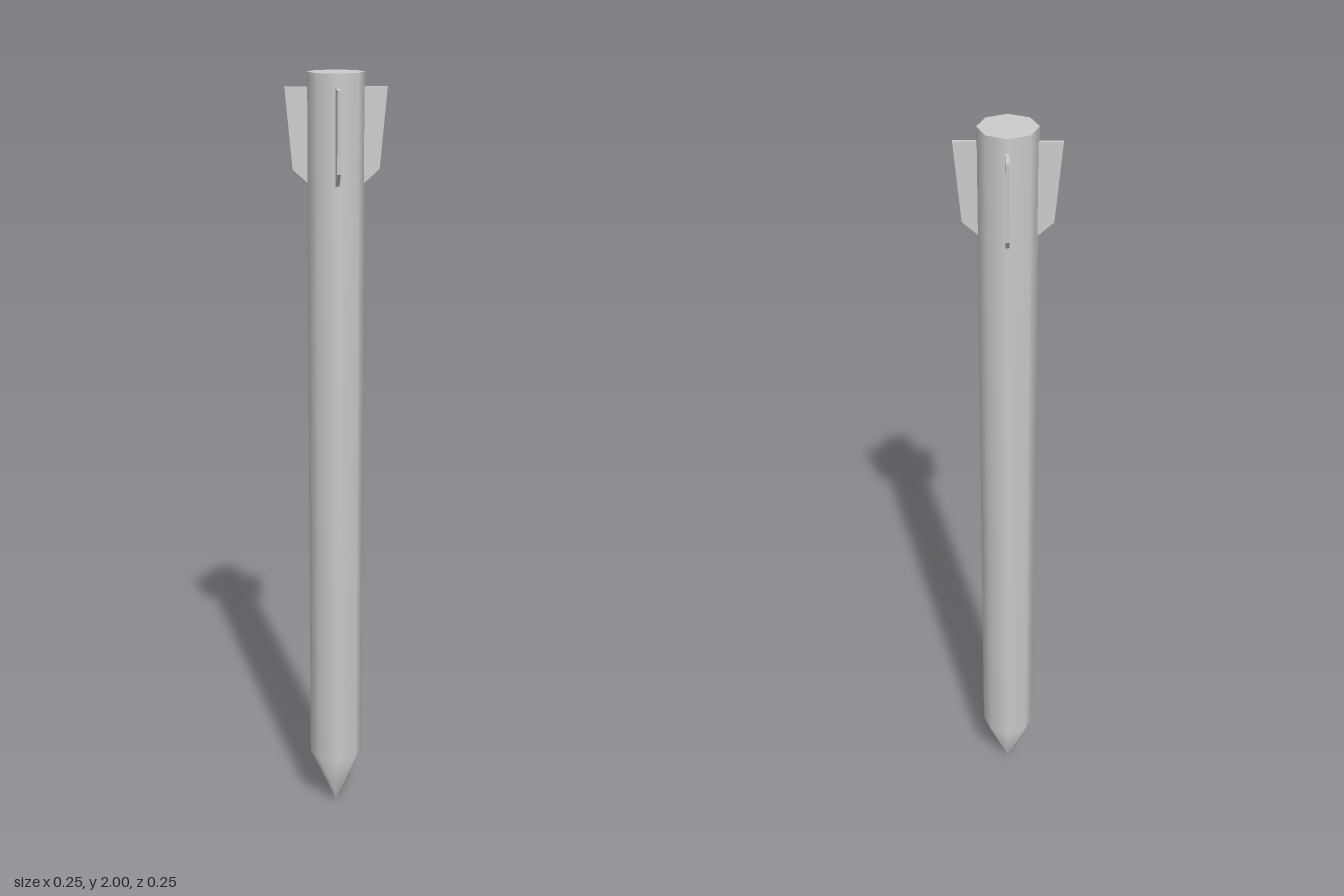
import * as THREE from 'three';

const RADIUS = 0.071, SIDES = 8, FIN_THICKNESS = 0.009, FIN_OFFSET = 0.002;

export function createModel() {
  const model = new THREE.Group();
  model.name = 'finnedDart';
  const metal = new THREE.MeshStandardMaterial({ color: 0xcccccc });
  metal.name = 'light grey metal';

  const add = (name, geometry) => {
    const mesh = new THREE.Mesh(geometry, metal);
    mesh.name = name;
    model.add(mesh);
    return mesh;
  };

  // Eight-sided body running smoothly into the pointed nose
  const profile = [[0, 0], [RADIUS, 0.16], [RADIUS, 2]].map(([r, y]) => new THREE.Vector2(r, y));
  add('bodyAndNose', new THREE.LatheGeometry(profile, SIDES));

  // Flat tail cap
  const cap = new THREE.CircleGeometry(RADIUS, SIDES);
  cap.rotateX(-Math.PI / 2);
  cap.translate(0, 2, 0);
  add('tailCap', cap);

  // Four tail fins, each set slightly to one side of the axis
  const outline = new THREE.Shape([[0.06, 1.727], [0.07, 1.735], [0.107, 1.768], [0.125, 1.965], [0.06, 1.965]]
    .map(([x, y]) => new THREE.Vector2(x, y)));
  const fin = new THREE.ExtrudeGeometry(outline, { depth: FIN_THICKNESS, bevelEnabled: false });
  fin.translate(0, 0, FIN_OFFSET - FIN_THICKNESS / 2);
  ['leftFin', 'backFin', 'rightFin', 'frontFin'].forEach((name, i) => {
    add(name, fin).rotation.y = i * Math.PI / 2;
  });

  return model;
}
